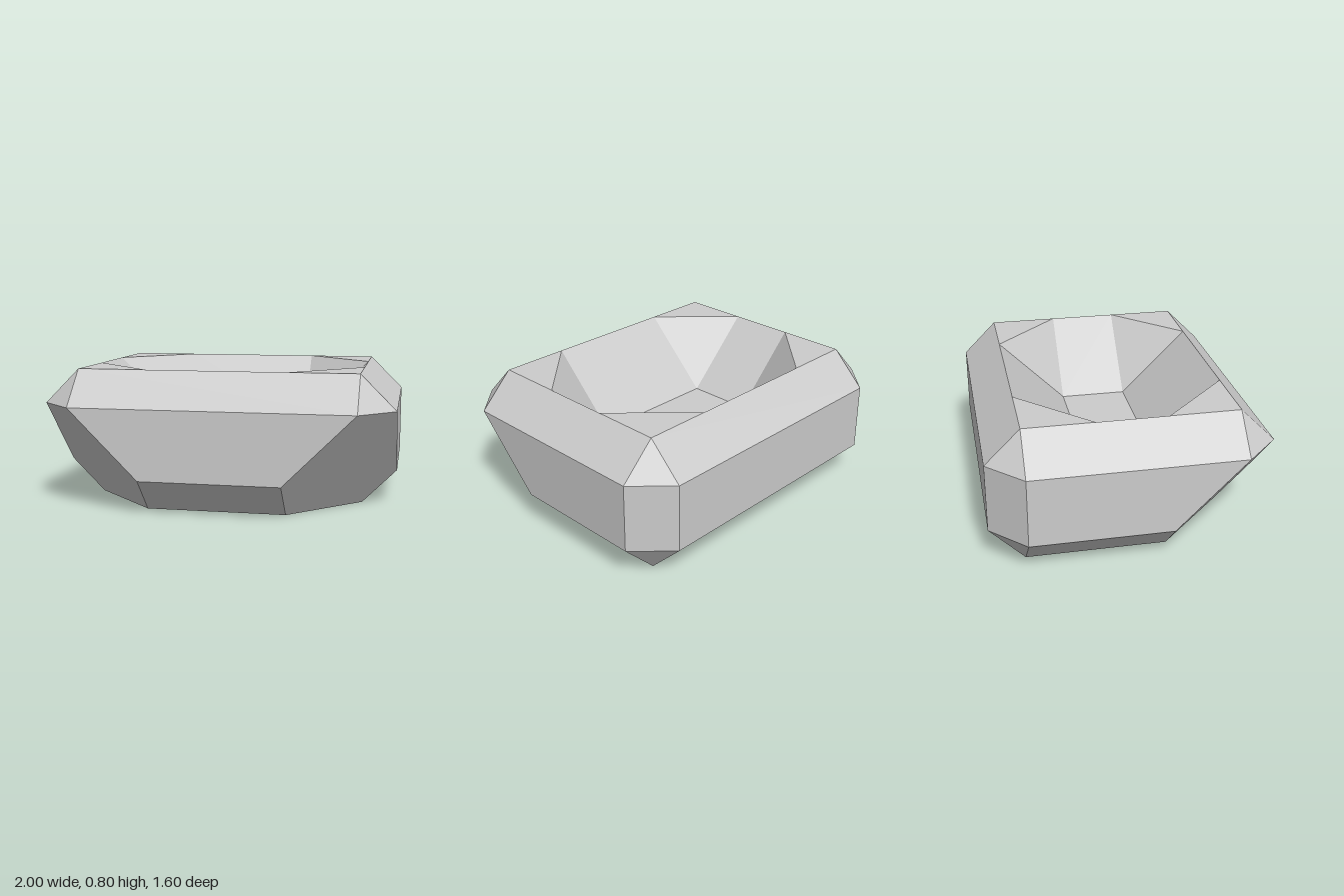
import * as THREE from 'three';

const material = new THREE.MeshStandardMaterial({ color: 0xcccccc, flatShading: true });

const mirror = ([x, y, z]) => [-x, y, z];
const flipZ = ([x, y, z]) => [x, y, -z];

// Panel spanning left to right between two mirrored edges
const across = (a, b) => [a, b, mirror(b), mirror(a)];
// Panel repeated on both sides / on both ends
const bothSides = (face) => [face, face.map(mirror)];
const bothEnds = (face) => [face, face.map(flipZ)];

// Flat convex panels, turned away from (side = 1) or towards (side = -1) a point
function panels(name, faces, point, side) {
  const positions = [];
  const origin = new THREE.Vector3(...point);
  for (const face of faces) {
    const p = face.map((c) => new THREE.Vector3(...c));
    const normal = p[1].clone().sub(p[0]).cross(p[2].clone().sub(p[0]));
    if (normal.dot(p[0].clone().sub(origin)) * side < 0) p.reverse();
    for (let i = 1; i < p.length - 1; i++) {
      for (const v of [p[0], p[i], p[i + 1]]) positions.push(v.x, v.y, v.z);
    }
  }
  const geometry = new THREE.BufferGeometry();
  geometry.setAttribute('position', new THREE.Float32BufferAttribute(positions, 3));
  geometry.computeVertexNormals();
  const mesh = new THREE.Mesh(geometry, material);
  mesh.name = name;
  return mesh;
}

export function createModel() {
  const group = new THREE.Group();
  group.name = 'facetedBasin';
  const centre = [0, 0.4, 0];
  const above = [0, 1, 0];

  // Underside
  group.add(panels('base', [
    [[0.4, 0, 0.6], [0.8, 0, 0.2], [0.8, 0, -0.6], [-0.8, 0, -0.6], [-0.8, 0, 0.2], [-0.4, 0, 0.6]],
  ], centre, 1));

  // Upright walls, with plain bevelled corners at the back
  group.add(panels('outerWalls', [
    across([0.8, 0.6, 0.8], [0.4, 0.2, 0.8]),
    across([0.8, 0.6, -0.8], [0.8, 0.2, -0.8]),
    ...bothSides([[1, 0.6, 0.6], [1, 0.6, -0.6], [1, 0.2, -0.6], [1, 0.2, 0.2]]),
    ...bothSides([[0.8, 0.6, -0.8], [1, 0.6, -0.6], [1, 0.2, -0.6], [0.8, 0.2, -0.8]]),
  ], centre, 1));

  // Large slanted cuts under the front corners
  group.add(panels('frontCornerCuts', bothSides([
    [0.8, 0.6, 0.8], [0.4, 0.2, 0.8], [0.4, 0, 0.6], [0.8, 0, 0.2], [1, 0.2, 0.2], [1, 0.6, 0.6],
  ]), centre, 1));

  // Bevels around the base
  group.add(panels('lowerBevels', [
    across([0.4, 0.2, 0.8], [0.4, 0, 0.6]),
    across([0.8, 0.2, -0.8], [0.8, 0, -0.6]),
    ...bothSides([[1, 0.2, 0.2], [1, 0.2, -0.6], [0.8, 0, -0.6], [0.8, 0, 0.2]]),
    ...bothSides([[0.8, 0, -0.6], [1, 0.2, -0.6], [0.8, 0.2, -0.8]]),
  ], centre, 1));

  // Bevels around the top, with a triangle at each corner
  group.add(panels('upperBevels', [
    ...bothEnds(across([0.8, 0.6, 0.8], [0.8, 0.8, 0.6])),
    ...bothSides([[1, 0.6, 0.6], [1, 0.6, -0.6], [0.8, 0.8, -0.6], [0.8, 0.8, 0.6]]),
    ...bothSides([[0.8, 0.8, 0.6], [1, 0.6, 0.6], [0.8, 0.6, 0.8]]).flatMap(bothEnds),
  ], centre, 1));

  // Flat triangles left at the corners of the eight-sided opening
  group.add(panels('rimCorners',
    bothSides([[0.8, 0.8, 0.6], [0.4, 0.8, 0.6], [0.8, 0.8, 0.2]]).flatMap(bothEnds), above, -1));

  // Sloping hollow
  group.add(panels('hollowWalls', [
    ...bothEnds(across([0.4, 0.8, 0.6], [0.4, 0.4, 0.2])),
    ...bothSides([[0.8, 0.8, 0.2], [0.8, 0.8, -0.2], [0.4, 0.4, -0.2], [0.4, 0.4, 0.2]]),
    ...bothSides([[0.4, 0.8, 0.6], [0.8, 0.8, 0.2], [0.4, 0.4, 0.2]]).flatMap(bothEnds),
  ], above, -1));
  group.add(panels('hollowFloor', [across([0.4, 0.4, 0.2], [0.4, 0.4, -0.2])], above, -1));

  return group;
}
